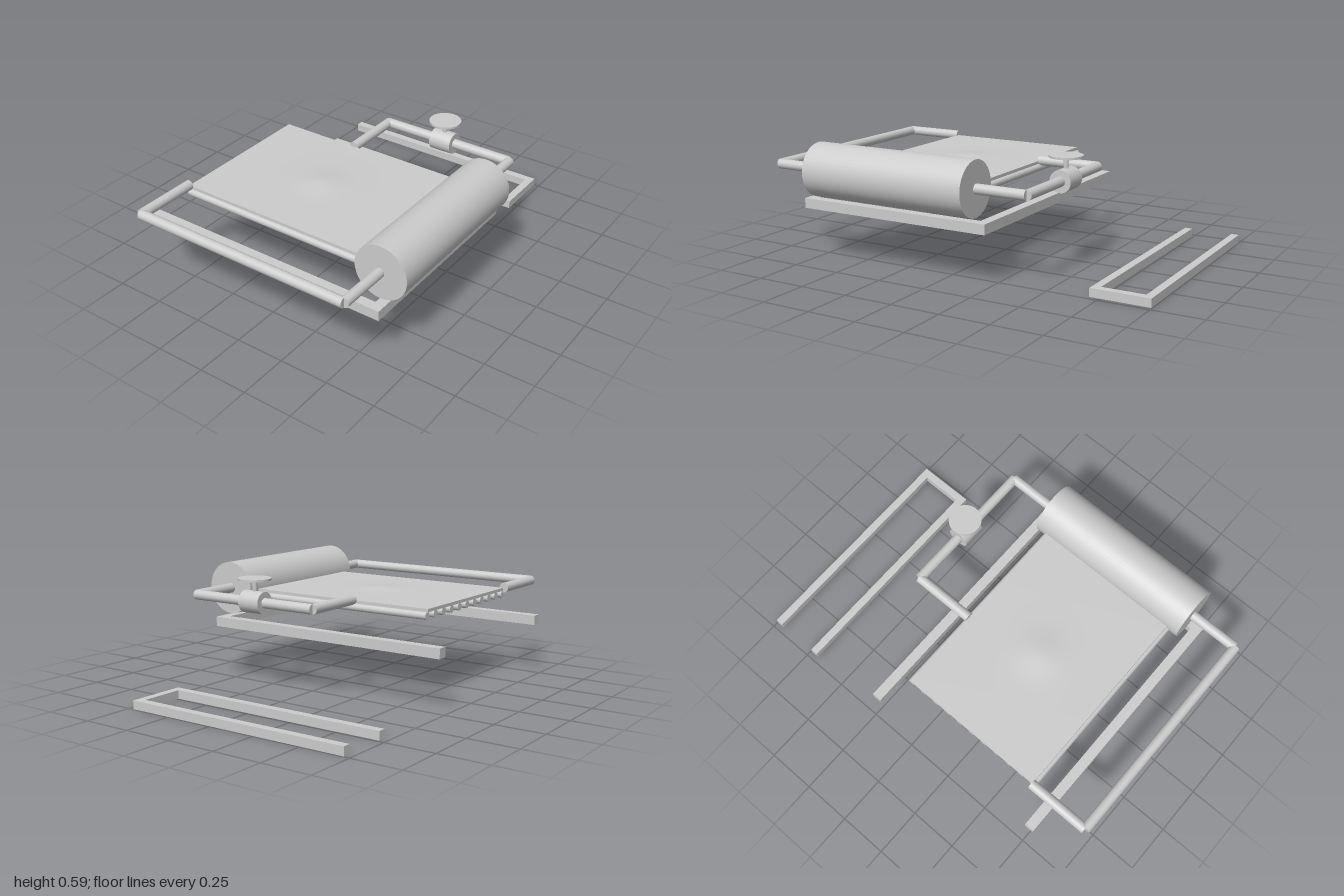
import * as THREE from 'three';

const material = new THREE.MeshStandardMaterial({ color: 0xcccccc });

function addMesh(parent, name, geometry, x = 0, y = 0, z = 0) {
  const mesh = new THREE.Mesh(geometry, material);
  mesh.name = name;
  mesh.position.set(x, y, z);
  parent.add(mesh);
  return mesh;
}

// Capped cylinder between two points
function addRod(parent, name, from, to, radius, sides = 24) {
  const a = new THREE.Vector3(...from), b = new THREE.Vector3(...to);
  const dir = b.clone().sub(a);
  const mesh = addMesh(parent, name, new THREE.CylinderGeometry(radius, radius, dir.length(), sides));
  mesh.position.copy(a).add(b).multiplyScalar(0.5);
  mesh.quaternion.setFromUnitVectors(new THREE.Vector3(0, 1, 0), dir.normalize());
  return mesh;
}

// U-shaped frame, open at the back, lying flat
function addFrame(parent, name, x0, x1, z0, z1, bar, y, height) {
  const shape = new THREE.Shape([
    [x0, z0], [x0, z1], [x1, z1], [x1, z0],
    [x1 - bar, z0], [x1 - bar, z1 - bar], [x0 + bar, z1 - bar], [x0 + bar, z0],
  ].map(([x, z]) => new THREE.Vector2(x, z)));
  const geometry = new THREE.ExtrudeGeometry(shape, { depth: height, bevelEnabled: false });
  geometry.rotateX(Math.PI / 2);
  addMesh(parent, name, geometry, 0, y + height, 0);
}

export function createModel() {
  const model = new THREE.Group();
  model.name = 'waterHeater';
  const y = 0.453, pipe = 0.025;
  const left = -0.972, right = 0.44, front = 0.58, back = -0.578;

  // Storage drum
  addRod(model, 'drum', [-0.715, y, 0.585], [0.18, y, 0.585], 0.135, 48);

  // Pipe loop joining drum and panel
  addRod(model, 'frontPipe', [left, y, front], [right, y, front], pipe);
  addRod(model, 'returnPipe', [left, y, back], [left, y, front], pipe);
  addRod(model, 'returnStub', [left, y, back], [-0.65, y, back], pipe);
  addRod(model, 'valvePipe', [right, y, -0.147], [right, y, front], pipe);
  addRod(model, 'valveStub', [0.115, y, -0.147], [right, y, -0.147], pipe);

  // Valve
  const valve = new THREE.Group();
  valve.name = 'valve';
  valve.position.set(right, y, 0.2);
  model.add(valve);
  addRod(valve, 'valveBody', [0, 0, -0.06], [0, 0, 0.06], 0.055, 32);
  addRod(valve, 'valveStem', [0, 0, 0], [0, 0.11, 0], 0.012, 16);
  addRod(valve, 'valveWheel', [0, 0.107, 0], [0, 0.118, 0], 0.082, 32);

  // Absorber panel with a gentle swelling in the middle
  const panel = new THREE.BoxGeometry(0.77, 0.016, 1.03, 40, 1, 52);
  const pos = panel.attributes.position;
  for (let i = 0; i < pos.count; i++) {
    const d2 = pos.getX(i) ** 2 + pos.getZ(i) ** 2;
    if (pos.getY(i) > 0) pos.setY(i, pos.getY(i) + 0.013 * Math.exp(-d2 / 0.012));
  }
  panel.computeVertexNormals();
  addMesh(model, 'absorberPanel', panel, -0.268, 0.444, -0.06);

  // Riser tubes under the panel
  const count = 11;
  for (let i = 0; i < count; i++) {
    const x = -0.651 + (0.766 * i) / (count - 1);
    addRod(model, 'riserTube', [x, 0.418, -0.572], [x, 0.418, 0.455], 0.019, 16);
  }

  // Support frame and the separate ground frame
  addFrame(model, 'supportFrame', -0.785, 0.25, -0.72, 0.625, 0.05, 0.256, 0.05);
  addFrame(model, 'groundFrame', 0.7, 0.996, -0.72, 0.475, 0.04, 0, 0.042);

  return model;
}
